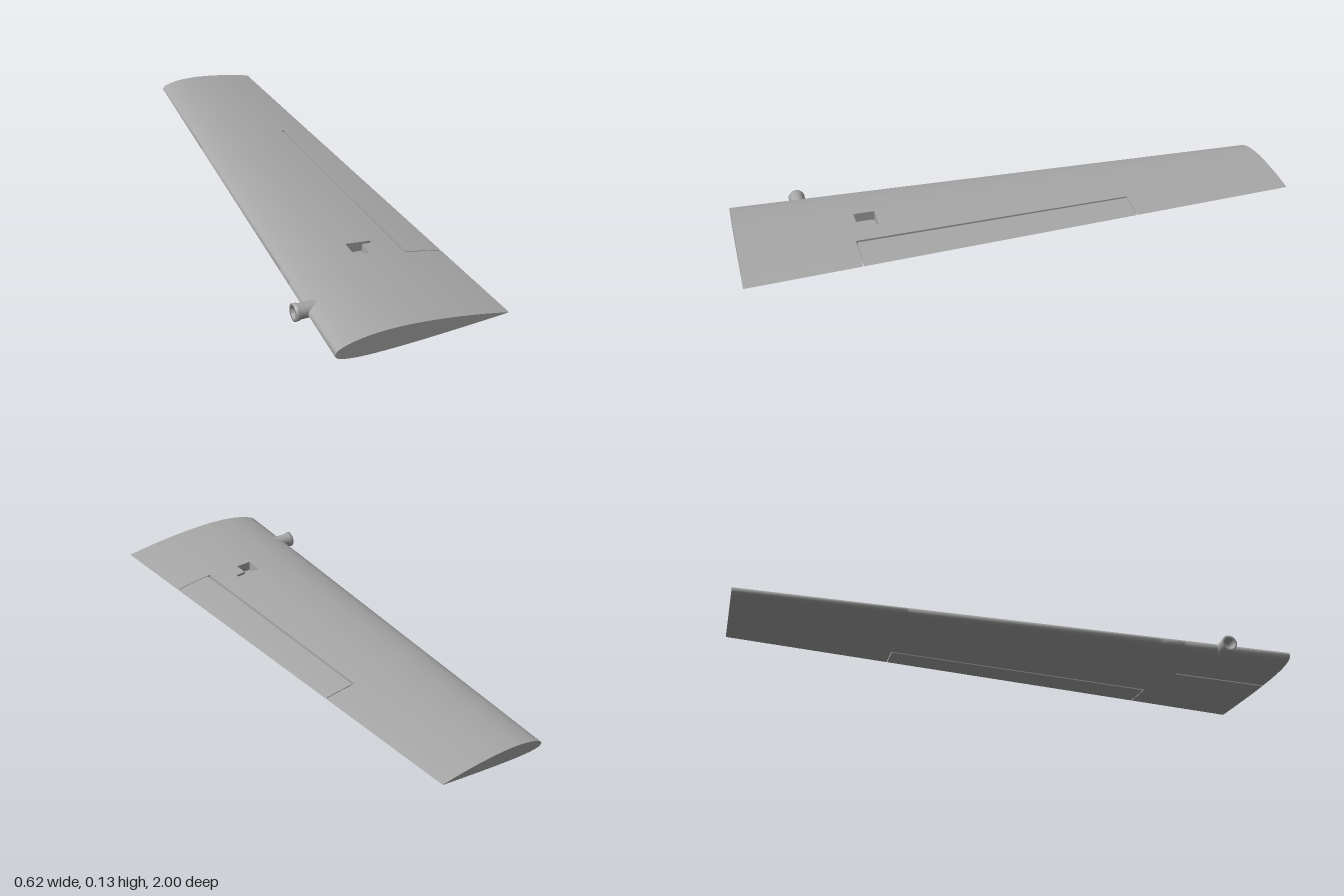
import * as THREE from 'three';

const CUT = 0.747, NOSE = 0.764;          // chord fractions of the control surface gap
const Z0 = -0.4, Z1 = 0.6, SLIT = 0.003;  // span of the control surface

// Point on the tapered, cambered wing: s in [-1, 1], negative = underside, |s| = chord fraction
function wingPoint(s, z, side = Math.sign(s)) {
  const u = Math.abs(s), k = (1 - z) / 2;
  const chord = 0.6 - 0.21 * k;
  const camber = u < 0.4 ? 0.125 * (0.8 * u - u * u) : (0.02 / 0.36) * (0.2 + 0.8 * u - u * u);
  const half = 0.6 * (0.2969 * Math.sqrt(u) - 0.126 * u - 0.3516 * u ** 2 + 0.2843 * u ** 3 - 0.1036 * u ** 4);
  return [-0.29 + 0.12 * k + u * chord, 0.027 + 0.07 * k + chord * (camber + side * half), z];
}

// Chord stations, dense at the leading edge, with extra lines for cut-outs
function stations(from, to, extra = []) {
  const list = [from, to, ...extra];
  for (let i = 0; i <= 28; i++) {
    const u = (1 - Math.cos((Math.PI * i) / 28)) / 2;
    if (u > from + 0.004 && u < to - 0.004) list.push(u);
  }
  return list.sort((a, b) => a - b);
}

// Surface through a grid of points, leaving out the cells that skip() picks
function grid(as, bs, point, skip = () => false) {
  const pos = [], index = [], n = bs.length;
  as.forEach((a) => bs.forEach((b) => pos.push(...point(a, b))));
  for (let i = 0; i < as.length - 1; i++) {
    for (let j = 0; j < n - 1; j++) {
      if (skip((as[i] + as[i + 1]) / 2, (bs[j] + bs[j + 1]) / 2)) continue;
      const p = i * n + j;
      index.push(p, p + 1, p + n + 1, p, p + n + 1, p + n);
    }
  }
  const g = new THREE.BufferGeometry();
  g.setAttribute('position', new THREE.Float32BufferAttribute(pos, 3));
  g.setIndex(index);
  g.computeVertexNormals();
  return g;
}

const across = (u, z, t) => {
  const lo = wingPoint(u, z, -1), hi = wingPoint(u, z, 1);
  return [lo[0], lo[1] + (hi[1] - lo[1]) * t, z];
};

export function createModel() {
  const model = new THREE.Group();
  const grey = new THREE.MeshStandardMaterial({ color: 0xa6a6a6, side: THREE.DoubleSide });
  grey.name = 'wing grey';
  const add = (name, geometry) => {
    const mesh = new THREE.Mesh(geometry, grey);
    mesh.name = name;
    model.add(mesh);
    return mesh;
  };
  const inside = (v, [a, b]) => v > a && v < b;
  // Rib closing the section at z; facing +1 or -1 along z
  const rib = (name, from, to, z, facing) => {
    const us = stations(from, to);
    add(name, grid(facing > 0 ? us : us.reverse(), [1, 0], (u, t) => across(u, z, t)));
  };
  // Spanwise wall at chord fraction u; facing +1 or -1 along x
  const spar = (name, u, za, zb, facing) =>
    add(name, grid(facing > 0 ? [zb, za] : [za, zb], [0, 1], (z, t) => across(u, z, t)));

  // Cut-outs as [chord range, span range]
  const pocket = [[[0.438, 0.538], [0.505, 0.58]], [[0.538, 0.605], [0.505, 0.52]]];
  const groove = [[0.385, 0.4], [0.65, 1]];

  // Outer and inner full-chord panels
  const loop = (us) => [...us.slice().reverse().map((u) => -u), ...us.filter((u) => u > 0)];
  add('outerPanel', grid(loop(stations(0, 1)), [-1, Z0], (s, z) => wingPoint(s, z)));
  add('innerPanel', grid(loop(stations(0, 1, groove[0])), [Z1, 0.65, 1], (s, z) => wingPoint(s, z),
    (s, z) => s < 0 && inside(-s, groove[0]) && inside(z, groove[1])));

  // Middle panel ahead of the control surface, with the equipment opening on top
  add('middlePanel', grid(loop(stations(0, CUT, [0.438, 0.538, 0.605])), [Z0, 0.505, 0.52, 0.58, Z1],
    (s, z) => wingPoint(s, z),
    (s, z) => s > 0 && pocket.some(([u, w]) => inside(s, u) && inside(z, w))));
  spar('rearSpar', CUT, Z0, Z1, 1);
  rib('tipRib', 0, 1, -1, -1);
  rib('rootRib', 0, 1, 1, 1);
  rib('outerBayRib', CUT, 1, Z0, 1);
  rib('innerBayRib', CUT, 1, Z1, -1);

  // Control surface: upper and lower skin, nose and ends
  const za = Z0 + SLIT, zb = Z1 - SLIT, us = stations(NOSE, 1);
  add('flapTop', grid(us, [za, zb], (u, z) => wingPoint(u, z)));
  add('flapBottom', grid(us.slice().reverse(), [za, zb], (u, z) => wingPoint(-u, z)));
  spar('flapNose', NOSE, za, zb, -1);
  rib('flapOuterEnd', NOSE, 1, za, -1);
  rib('flapInnerEnd', NOSE, 1, zb, 1);

  // Recess lining: walls follow an outline of [chord, span], floors fill its rectangles
  const lining = (name, outline, rects, side, depth) => {
    const sink = (u, z, d) => {
      const p = wingPoint(u, z, side);
      p[1] -= side * d;
      return p;
    };
    outline.forEach((a, i) => {
      const b = outline[(i + 1) % outline.length];
      add(name + 'Wall', grid([0, 1], [0, depth],
        (t, d) => sink(a[0] + (b[0] - a[0]) * t, a[1] + (b[1] - a[1]) * t, d)));
    });
    rects.forEach(([u, z]) => add(name + 'Floor',
      grid(side > 0 ? u : u.slice().reverse(), z, (a, b) => sink(a, b, depth))));
  };
  lining('equipmentBay', [[0.438, 0.505], [0.605, 0.505], [0.605, 0.52], [0.538, 0.52],
    [0.538, 0.58], [0.438, 0.58]], pocket, 1, 0.035);
  lining('cableGroove', [[0.385, 0.65], [0.4, 0.65], [0.4, 1], [0.385, 1]], [groove], -1, 0.007);

  // Hollow fitting on the leading edge: collar, waist and bore
  const profile = [[0.026, -0.08], [0.026, -0.018], [0.029, -0.014], [0.03, 0], [0.02, 0], [0.02, -0.04], [0, -0.04]]
    .map(([r, y]) => new THREE.Vector2(r, y));
  const fitting = add('leadingEdgeFitting', new THREE.LatheGeometry(profile, 24));
  fitting.rotation.z = Math.PI / 2;
  fitting.position.set(-0.315, 0.036, 0.75);

  return model;
}
